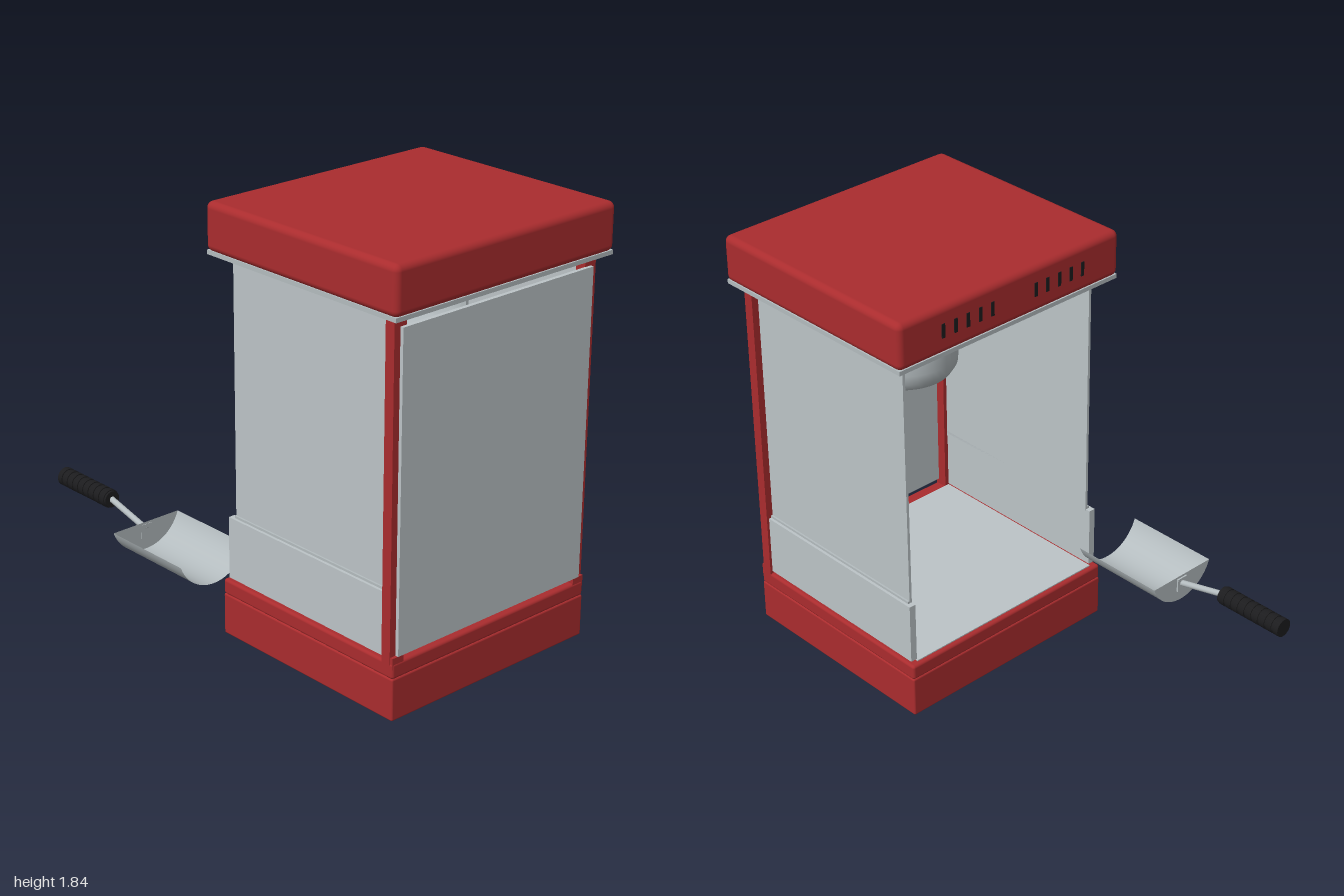
import * as THREE from 'three';
import { RoundedBoxGeometry } from 'three/addons/geometries/RoundedBoxGeometry.js';

const MID_Z = -0.0875; // the cabinet's own centre plane, front to back

export function createModel() {
  const model = new THREE.Group();
  model.name = 'popcornMachine';

  const material = (name, color, side = THREE.FrontSide) => {
    const m = new THREE.MeshStandardMaterial({ color, side });
    m.name = name;
    return m;
  };
  const red = material('red enamel', 0xaa2c2e);
  const panel = material('pale panel', 0xbcc4c7);
  const steel = material('steel', 0xb4bcbf, THREE.DoubleSide);
  const black = material('black', 0x1c1c1e);

  const add = (name, geometry, mat, parent = model) => {
    const mesh = new THREE.Mesh(geometry, mat);
    mesh.name = name;
    parent.add(mesh);
    return mesh;
  };
  // Box given by its extents on each axis; a radius rounds its edges
  const box = (name, mat, [x0, x1], [y0, y1], [z0, z1], radius = 0, parent = model) => {
    const size = [x1 - x0, y1 - y0, z1 - z0];
    const g = radius ? new RoundedBoxGeometry(...size, 3, radius) : new THREE.BoxGeometry(...size);
    const mesh = add(name, g, mat, parent);
    mesh.position.set((x0 + x1) / 2, (y0 + y1) / 2, (z0 + z1) / 2);
    return mesh;
  };
  // Rod between two points
  const rod = (name, mat, a, b, r, parent = model) => {
    const p = new THREE.Vector3(...a), q = new THREE.Vector3(...b);
    const mesh = add(name, new THREE.CylinderGeometry(r, r, p.distanceTo(q), 20), mat, parent);
    mesh.position.copy(p).lerp(q, 0.5);
    mesh.quaternion.setFromUnitVectors(new THREE.Vector3(0, 1, 0), q.clone().sub(p).normalize());
    return mesh;
  };

  // Base in two tiers, with the tray floor on top
  box('base', red, [-0.02, 0.96], [0, 0.18], [-0.62, 0.445], 0.008);
  box('baseRim', red, [-0.02, 0.96], [0.178, 0.245], [-0.62, 0.445], 0.012);
  box('floor', panel, [0, 0.9], [0.24, 0.25], [-0.58, 0.405]);

  // Lid with its underside plate
  box('lid', red, [-0.05, 0.995], [1.635, 1.835], [-0.67, 0.488], 0.028);
  box('lidPlate', steel, [-0.045, 0.99], [1.622, 1.64], [-0.665, 0.482]);

  // Vent slots in two groups of five on the open side of the lid
  for (const start of [-0.45, 0.03]) {
    for (let i = 0; i < 5; i++) {
      const z = start + i * 0.063;
      box('ventSlot', black, [-0.053, -0.046], [1.705, 1.765], [z - 0.008, z + 0.008]);
    }
  }

  // Front and back walls, posts and lamps, mirrored about the centre plane
  for (const s of [1, -1]) {
    const span = (a, b) => [MID_Z + s * a, MID_Z + s * b].sort((p, q) => p - q);
    const end = s > 0 ? 'front' : 'back';
    box(end + 'Post', red, [0.9, 0.945], [0.22, 1.625], span(0.473, 0.533));
    box(end + 'PostFoot', red, [0.9, 0.958], [0.22, 0.268], span(0.473, 0.53));
    box(end + 'UpperPanel', panel, [0.028, 0.9], [0.5, 1.598], span(0.49, 0.502));
    box(end + 'LowerPanel', panel, [0.005, 0.9], [0.255, 0.522], span(0.492, 0.522));
    box(end + 'PanelLedge', steel, [0.028, 0.9], [0.52, 0.532], span(0.49, 0.51));
    box(end + 'Lamp', steel, [0.1, 0.79], [1.604, 1.616], span(0.417, 0.45));
    box(end + 'KettleHanger', steel, [0.592, 0.62], [1.3, 1.63], span(0.165, 0.178));
  }

  // Closed side wall
  box('sidePanel', panel, [0.943, 0.96], [0.268, 1.582], [-0.592, 0.416]);

  // Hanging kettle
  const profile = [
    [0, 1.16], [0.16, 1.16], [0.2, 1.175], [0.222, 1.21], [0.225, 1.25],
    [0.225, 1.38], [0.2, 1.395], [0.1, 1.415], [0, 1.42],
  ].map(([r, y]) => new THREE.Vector2(r, y));
  add('kettle', new THREE.LatheGeometry(profile, 40), steel).position.set(0.606, 0, MID_Z);

  // Scoop: open trough with a closed end and a handle
  const scoop = new THREE.Group();
  scoop.name = 'scoop';
  model.add(scoop);
  const R = 0.177, half = 1.242, cy = 0.427, cz = 0.5075;
  const trough = new THREE.CylinderGeometry(R, R, 0.435, 40, 1, true, Math.PI * 1.5 - half, half * 2);
  trough.rotateZ(Math.PI / 2);
  add('scoopTrough', trough, steel, scoop).position.set(-0.2225, cy, cz);
  const segment = new THREE.Shape();
  segment.absarc(0, 0, R, -Math.PI / 2 - half, -Math.PI / 2 + half, false);
  const endPlate = new THREE.ShapeGeometry(segment, 40);
  endPlate.rotateY(-Math.PI / 2);
  add('scoopEnd', endPlate, steel, scoop).position.set(-0.44, cy, cz);
  box('handleMount', steel, [-0.447, -0.438], [0.3, 0.36], [cz - 0.03, cz + 0.025], 0, scoop);
  rod('handleRod', steel, [-0.44, 0.333, 0.503], [-0.69, 0.395, 0.503], 0.013, scoop);

  // Ribbed grip
  const grip = (name, x0, x1, r) => rod(name, black, [x0, 0.391, 0.503], [x1, 0.391, 0.503], r, scoop);
  grip('gripCore', -0.998, -0.672, 0.036);
  for (let i = 0; i < 9; i++) grip('gripRib', -1 + i * 0.0365, -0.974 + i * 0.0365, 0.04);

  return model;
}
